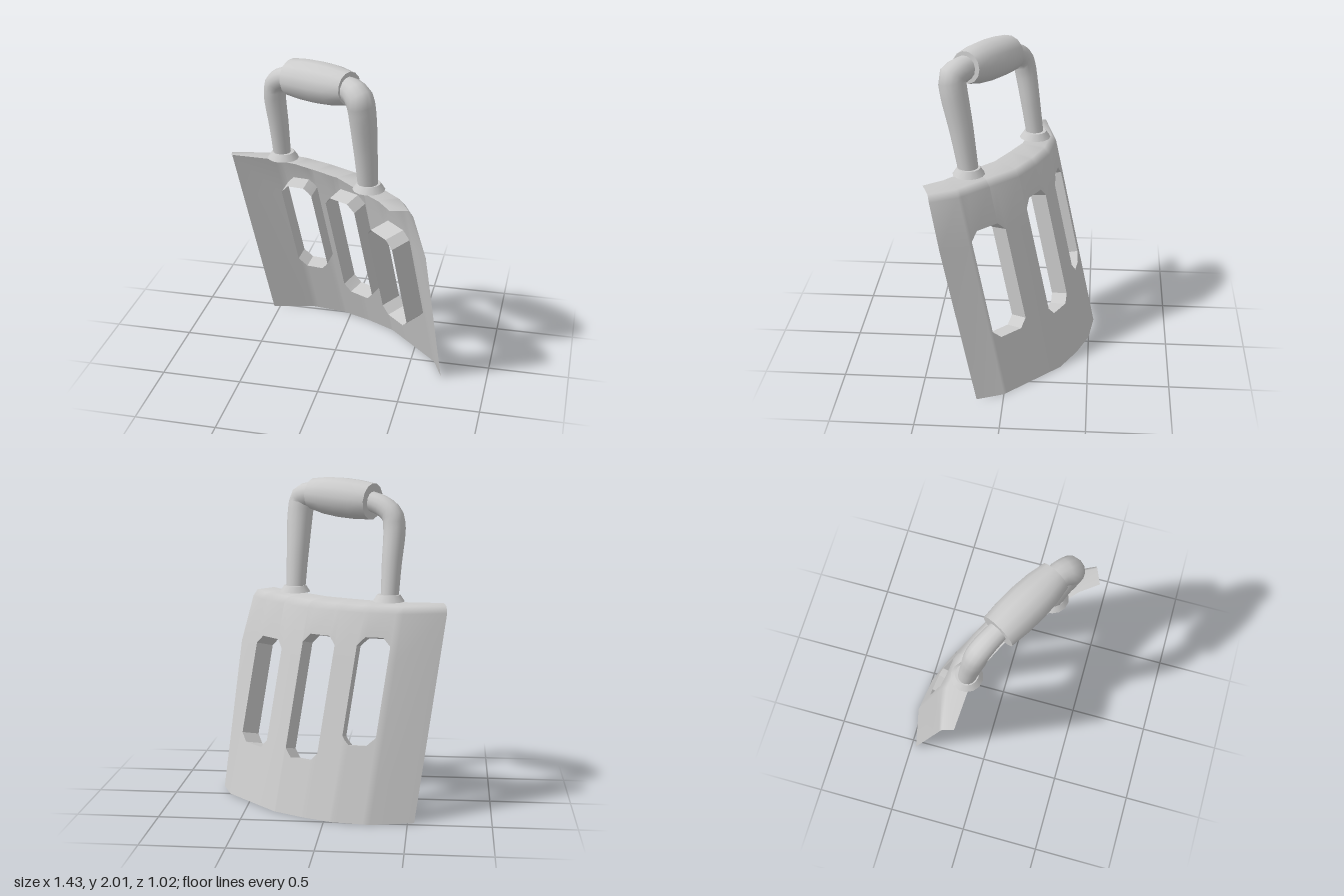
import * as THREE from 'three';
import { mergeVertices, toCreasedNormals } from 'three/addons/utils/BufferGeometryUtils.js';

const material = new THREE.MeshStandardMaterial({ color: 0xcccccc, side: THREE.DoubleSide });

// Bottom edge of the curved plate as x, z; u counts along these points
const edge = [[-0.54, -0.47], [-0.28, -0.53], [-0.05, -0.5], [0.13, -0.43],
  [0.32, -0.33], [0.48, -0.17], [0.65, 0], [0.715, 0.16]];
const insets = [0.09, 0.16, 0.18, 0.19, 0.19, 0.18, 0.17, 0.14];
const RIM = 1.22, SEAM = 0.93;

// Slots: range along u, range in y, depth of their walls
const slots = [
  { a: 1.2, b: 2.1, lo: 0.45, hi: 1.08, depth: 0.1 },
  { a: 2.86, b: 3.95, lo: 0.33, hi: 1.07, depth: 0.11 },
  { a: 4.8, b: 5.9, lo: 0.34, hi: 1.0, depth: 0.13 },
];
const CHAMFER_U = 0.22, CHAMFER_Y = 0.05;

const clampU = (u) => Math.min(7, Math.max(0, u));

function lerpTable(table, u) {
  const i = Math.min(6, Math.floor(u));
  return THREE.MathUtils.lerp(table[i], table[i + 1], u - i);
}

// Point on the leaning plate
function platePoint(u, y) {
  const x = lerpTable(edge.map((p) => p[0]), u);
  const z = lerpTable(edge.map((p) => p[1]), u);
  const swell = y < SEAM ? 0.042 * y / SEAM : 0.042 - 0.1 * (y - SEAM);
  return new THREE.Vector3(x - 0.142 * y + swell * Math.max(0, u - 6), y, z + 0.225 * y);
}

// Horizontal direction towards the hollow side
function inward(u) {
  const t = platePoint(clampU(u + 0.5), 0).sub(platePoint(clampU(u - 0.5), 0)).normalize();
  return new THREE.Vector3(-t.z, 0, t.x);
}

function flangePoint(u, share, y) {
  const p = platePoint(u, RIM).addScaledVector(inward(u), lerpTable(insets, u) * share);
  p.y = y;
  return p;
}

// Cut-out height range at u, with chamfered corners
function cutRange(slot, u) {
  const c = CHAMFER_Y * Math.max(0, 1 - Math.min(u - slot.a, slot.b - u) / CHAMFER_U);
  return [slot.lo + c, slot.hi - c];
}

function quadsToGeometry(quads) {
  const pos = [];
  for (const [a, b, c, d] of quads) {
    for (const p of [a, b, c, a, c, d]) pos.push(p.x, p.y, p.z);
  }
  const g = new THREE.BufferGeometry();
  g.setAttribute('position', new THREE.Float32BufferAttribute(pos, 3));
  return g;
}

function plateGeometry() {
  const cuts = [0, 1, 2, 3, 4, 5, 6, 7];
  for (const s of slots) cuts.push(s.a, s.a + CHAMFER_U, s.b - CHAMFER_U, s.b);
  cuts.sort((p, q) => p - q);
  const quads = [];
  for (let i = 0; i < cuts.length - 1; i++) {
    const ends = [cuts[i], cuts[i + 1]];
    const mid = (ends[0] + ends[1]) / 2;
    const slot = slots.find((s) => mid > s.a && mid < s.b);
    const columns = ends.map((u) => {
      const [lo, hi] = slot ? cutRange(slot, u) : [SEAM, SEAM];
      return [platePoint(u, 0), platePoint(u, lo), platePoint(u, hi), platePoint(u, RIM),
        flangePoint(u, 0.2, 1.26), flangePoint(u, 1, 1.27)];
    });
    for (const r of [0, 2, 3, 4]) {
      quads.push([columns[1][r], columns[0][r], columns[0][r + 1], columns[1][r + 1]]);
    }
  }
  const g = mergeVertices(quadsToGeometry(quads));
  g.computeVertexNormals();
  return g;
}

// Walls around one slot, reaching to the hollow side
function slotGeometry(slot) {
  const us = [slot.a, slot.a + CHAMFER_U, slot.b - CHAMFER_U, slot.b];
  for (let u = Math.ceil(slot.a); u < slot.b; u++) us.push(u);
  us.sort((p, q) => p - q);
  const loop = [
    ...us.map((u) => platePoint(u, cutRange(slot, u)[0])),
    ...us.slice().reverse().map((u) => platePoint(u, cutRange(slot, u)[1])),
  ];
  const push = inward((slot.a + slot.b) / 2).setY(-0.25).normalize().multiplyScalar(slot.depth);
  const quads = loop.map((p, i) => {
    const q = loop[(i + 1) % loop.length];
    return [p, q, q.clone().add(push), p.clone().add(push)];
  });
  return toCreasedNormals(quadsToGeometry(quads), 0.6);
}

// Bent round bar whose radius follows a list along its length
function barGeometry(points, radii) {
  const curve = new THREE.CatmullRomCurve3(points.map((p) => new THREE.Vector3(...p)), false, 'centripetal');
  const segments = 20, sides = 14;
  const g = new THREE.TubeGeometry(curve, segments, 1, sides, false);
  const pos = g.attributes.position, nor = g.attributes.normal;
  for (let i = 0; i < pos.count; i++) {
    const t = Math.floor(i / (sides + 1)) / segments;
    const f = t * (radii.length - 1), k = Math.min(radii.length - 2, Math.floor(f));
    const r = THREE.MathUtils.lerp(radii[k], radii[k + 1], f - k);
    const c = curve.getPointAt(t);
    pos.setXYZ(i, c.x + nor.getX(i) * r, c.y + nor.getY(i) * r, c.z + nor.getZ(i) * r);
  }
  return g;
}

export function createModel() {
  const model = new THREE.Group();
  const add = (name, geometry, parent = model) => {
    const mesh = new THREE.Mesh(geometry, material);
    mesh.name = name;
    parent.add(mesh);
    return mesh;
  };

  // Curved plate with its folded top flange and slot walls
  add('curvedPlate', plateGeometry());
  slots.forEach((s, i) => add(`slotWall${i + 1}`, slotGeometry(s)));

  // Handle: two collars, two bent posts and a thick grip
  const handle = new THREE.Group();
  handle.name = 'handle';
  model.add(handle);

  for (const [name, x, z] of [['rightCollar', -0.36, -0.125], ['leftCollar', 0.255, 0.235]]) {
    add(name, new THREE.CylinderGeometry(0.07, 0.097, 0.04, 14), handle).position.set(x, 1.3, z);
  }

  add('rightPost', barGeometry([[-0.365, 1.29, -0.125], [-0.375, 1.5, -0.095], [-0.388, 1.72, -0.06],
    [-0.375, 1.79, -0.045], [-0.32, 1.84, -0.01], [-0.22, 1.875, 0.05]],
  [0.054, 0.058, 0.063, 0.068, 0.066, 0.06]), handle);

  add('leftPost', barGeometry([[0.25, 1.29, 0.235], [0.24, 1.55, 0.275], [0.225, 1.81, 0.322],
    [0.212, 1.865, 0.325], [0.175, 1.89, 0.29], [0.1, 1.9, 0.235]],
  [0.06, 0.066, 0.073, 0.08, 0.083, 0.07]), handle);

  const from = new THREE.Vector3(-0.25, 1.867, 0.035);
  const to = new THREE.Vector3(0.14, 1.9, 0.255);
  const length = from.distanceTo(to);
  const profile = [[0, 0], [0.112, 0], [0.122, 0.25], [0.124, 0.5], [0.117, 0.75], [0.097, 1], [0, 1]]
    .map(([r, t]) => new THREE.Vector2(r, t * length));
  const grip = add('grip', toCreasedNormals(new THREE.LatheGeometry(profile, 14), 0.7), handle);
  grip.position.copy(from);
  grip.quaternion.setFromUnitVectors(new THREE.Vector3(0, 1, 0), to.clone().sub(from).normalize());

  return model;
}
